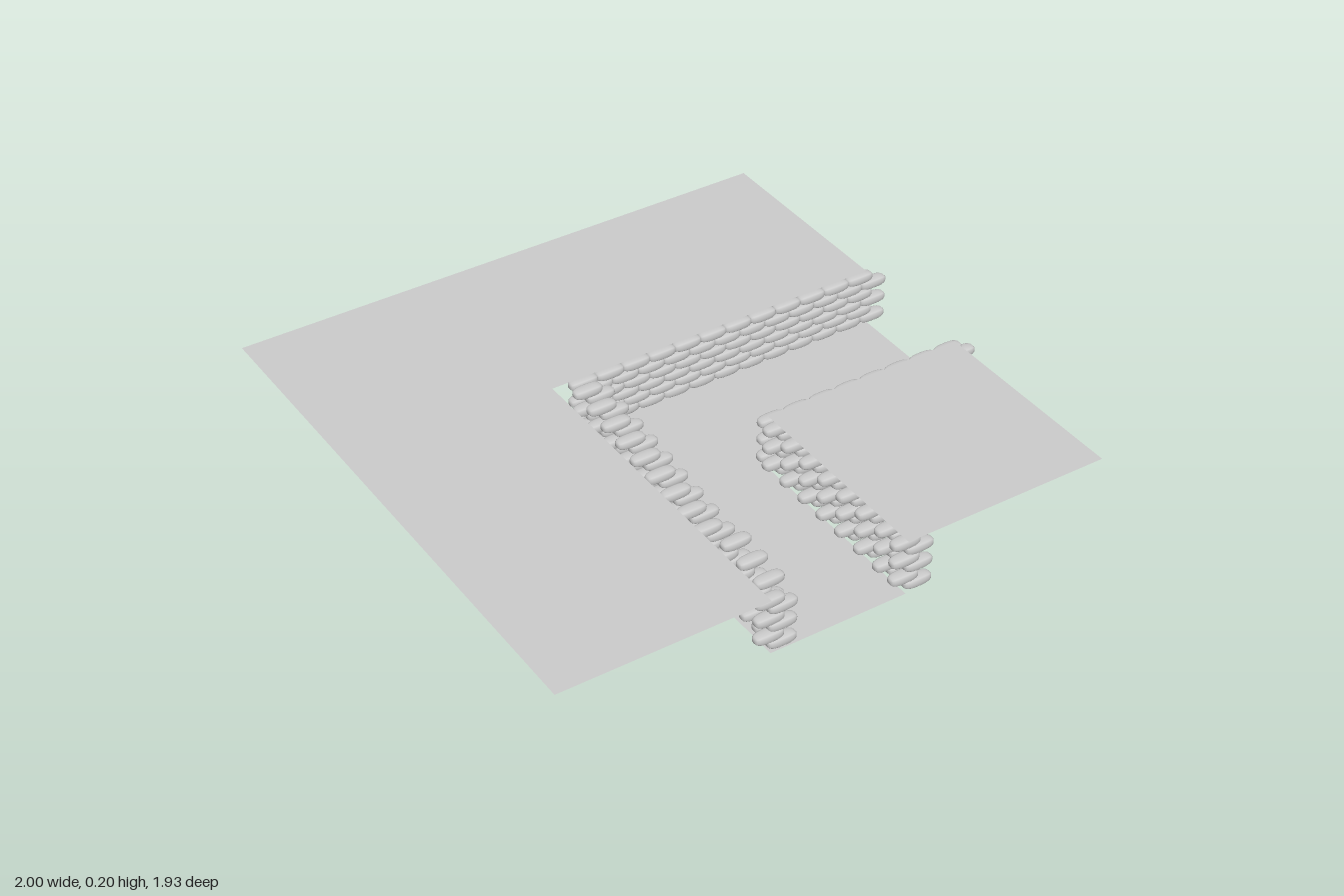
import * as THREE from 'three';
import { mergeVertices } from 'three/addons/utils/BufferGeometryUtils.js';

const ROWS = 6, ROW_H = 0.033;            // courses of bags, bottom to top
const PITCH = 0.097, HALF = 0.05;         // spacing along x, running-bond shift
const GROUND_Y = 0.2, FLOOR_Y = 0.003;

const bagMat = new THREE.MeshStandardMaterial({ color: 0xcccccc });
const sheetMat = new THREE.MeshStandardMaterial({ color: 0xcccccc, side: THREE.DoubleSide });

// Plump pillow: a sphere squared off towards a box
function bagGeometry() {
  let g = new THREE.SphereGeometry(1, 16, 12).rotateZ(Math.PI / 2);
  g.deleteAttribute('uv');
  g.deleteAttribute('normal');
  const p = g.attributes.position;
  const puff = (v, e) => Math.sign(v) * Math.pow(Math.abs(v), e);
  for (let i = 0; i < p.count; i++) {
    p.setXYZ(i,
      puff(p.getX(i), 0.7) * 0.0505,
      puff(p.getY(i), 0.6) * 0.0172,
      puff(p.getZ(i), 0.6) * 0.0225);
  }
  g = mergeVertices(g, 1e-5);
  g.computeVertexNormals();
  return g;
}

// Flat horizontal sheet from [x, z] corners
function sheet(name, y, corners) {
  const shape = new THREE.Shape(corners.map(([x, z]) => new THREE.Vector2(x, z)));
  const mesh = new THREE.Mesh(new THREE.ShapeGeometry(shape).rotateX(Math.PI / 2), sheetMat);
  mesh.position.y = y;
  mesh.name = name;
  return mesh;
}

export function createModel() {
  const model = new THREE.Group();
  model.name = 'sandbagTrench';
  const geo = bagGeometry();

  // Stack every row of bags; place(row) returns the [x, z] centres of that row
  function wall(name, place) {
    const group = new THREE.Group();
    group.name = name;
    for (let row = 0; row < ROWS; row++) {
      for (const [x, z] of place(row)) {
        const bag = new THREE.Mesh(geo, bagMat);
        bag.name = 'sandbag';
        bag.position.set(x, 0.0172 + row * ROW_H, z);
        group.add(bag);
      }
    }
    model.add(group);
  }

  // Walls running along x, bags end to end
  const runX = (count, z) => row => Array.from({ length: count },
    (_, i) => [(row % 2 ? 0.895 : 0.95) - i * PITCH, z]);
  wall('backWall', runX(12, -0.243));
  wall('innerWall', runX(8, 0.238));

  // Walls running along z, bags lying crosswise with gaps between
  const zs = Array.from({ length: 12 }, (_, i) => -0.195 + i * 0.0961).concat(0.938);
  wall('rightSideWall', row => zs.map((z, i) => {
    const swapped = i > 8 && i < 12 && row > 0;
    const outer = (row % 2 === 1) !== swapped;
    return [(outer ? -0.185 : -0.14) - 0.08 * (z + 0.195), z];
  }));
  wall('innerSideWall', row => zs.slice(5).map(z => [row % 2 ? 0.205 : 0.205 + HALF, z]));

  // Ground around the trench, the raised inner corner, and the trench floor
  model.add(sheet('outerGround', GROUND_Y, [
    [-1, -0.965], [0.925, -0.965], [0.925, -0.243], [-0.283, -0.243], [-0.283, 0.963], [-1, 0.963]]));
  model.add(sheet('innerGround', GROUND_Y, [
    [0.2, 0.236], [0.925, 0.236], [0.925, 0.963], [0.2, 0.963]]));
  model.add(sheet('trenchFloor', FLOOR_Y, [
    [-0.283, -0.243], [0.925, -0.243], [0.925, 0.236], [0.2, 0.236], [0.2, 0.963], [-0.283, 0.963]]));

  return model;
}
